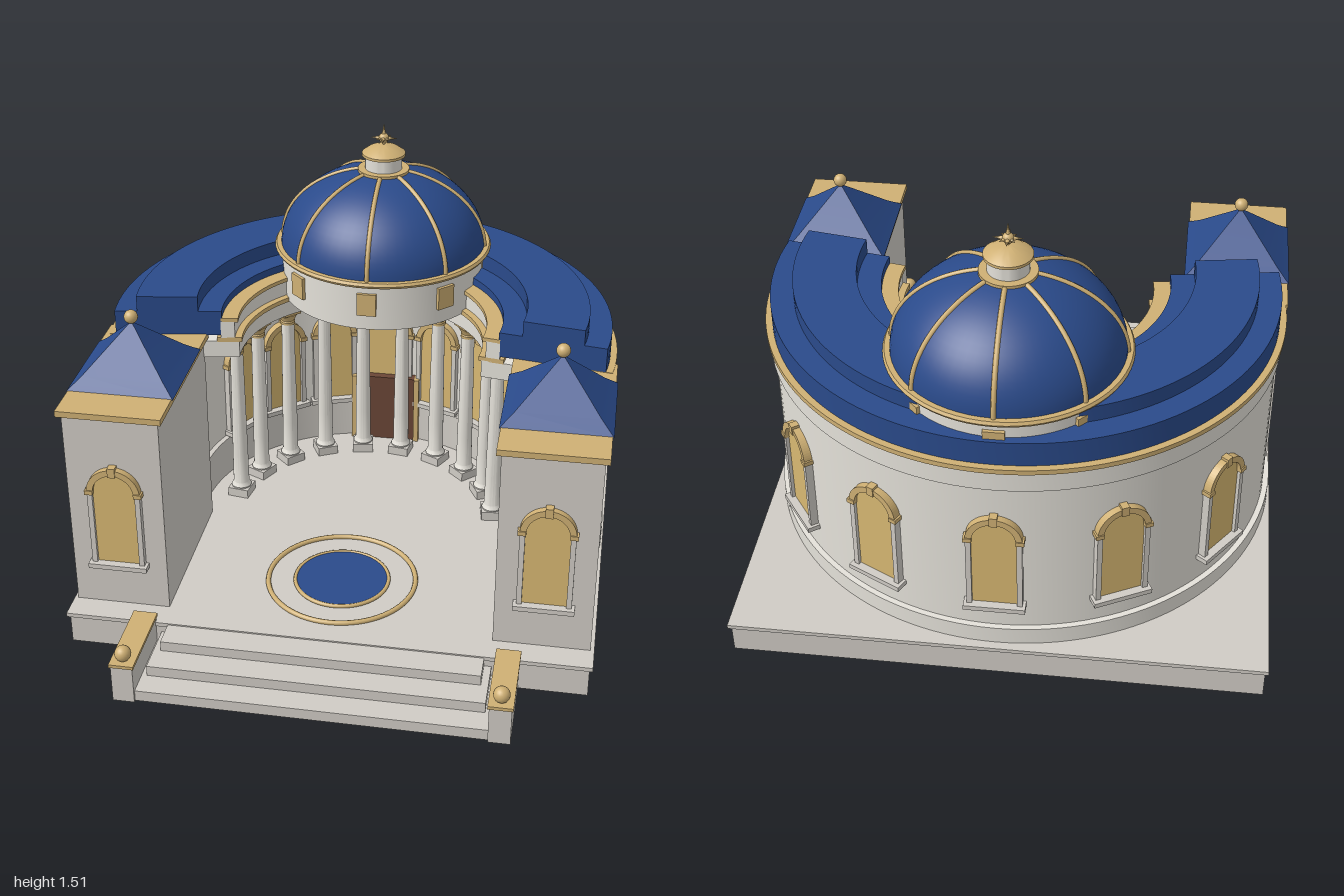
import * as THREE from 'three';
import { mergeGeometries, toCreasedNormals } from 'three/addons/utils/BufferGeometryUtils.js';

const mat = (name, color) => Object.assign(new THREE.MeshStandardMaterial({ color }), { name });
const stone = mat('stone', 0xd0ccc5);
const marble = mat('marble', 0xe4e1d9);
const gold = mat('gold', 0xcfb074);
const pane = mat('windowGlow', 0xd8b872);
const blue = mat('roofBlue', 0x2a4a8a);
const wood = mat('doorWood', 0x6a4636);
const RAD = Math.PI / 180;
const RING_Z = -0.07, DOME_Z = -0.545;

function add(parent, name, geometry, material, x = 0, y = 0, z = 0) {
  const mesh = new THREE.Mesh(geometry, material);
  mesh.name = name;
  mesh.position.set(x, y, z);
  parent.add(mesh);
  return mesh;
}

// Box given by its limits
function block(parent, name, material, x0, x1, y0, y1, z0, z1) {
  return add(parent, name, new THREE.BoxGeometry(x1 - x0, y1 - y0, z1 - z0), material,
    (x0 + x1) / 2, (y0 + y1) / 2, (z0 + z1) / 2);
}

// Turned form with crisp edges where the profile bends sharply
function turned(profile, segments = 48) {
  const pts = profile.map(([r, y]) => new THREE.Vector2(r, y));
  return toCreasedNormals(new THREE.LatheGeometry(pts, segments), 0.5);
}

// Rectangular band swept round an arc open to the front, with closed ends
function arcBand(r0, r1, y0, y1, half = 99) {
  const pts = [[r1, y0], [r1, y1], [r0, y1], [r0, y0]].map(([r, y]) => new THREE.Vector2(r, y));
  const start = Math.PI - half * RAD, length = 2 * half * RAD;
  const sweep = new THREE.LatheGeometry([...pts, pts[0]], 72, start, length);
  const caps = [start, start + length].map((a, i) => {
    const cap = new THREE.ShapeGeometry(new THREE.Shape(pts));
    if (i) cap.index.array.reverse();
    return cap.rotateY(a - Math.PI / 2);
  });
  return toCreasedNormals(mergeGeometries([sweep, ...caps]), 0.5);
}

// Arched window facing +z, base on y = 0.29
function archedWindow(name, half = 0.075) {
  const g = new THREE.Group();
  g.name = name;
  const spring = 0.58, sill = 0.295, outer = half + 0.018;
  const glass = new THREE.Shape();
  glass.moveTo(-half, sill);
  glass.lineTo(half, sill);
  glass.lineTo(half, spring);
  glass.absarc(0, spring, half, 0, Math.PI, false);
  add(g, 'windowPane', new THREE.ExtrudeGeometry(glass, { depth: 0.009, bevelEnabled: false, curveSegments: 16 }), pane);
  const arch = new THREE.Shape();
  arch.absarc(0, spring, outer, 0, Math.PI, false);
  arch.absarc(0, spring, half - 0.004, Math.PI, 0, true);
  add(g, 'archTrim', new THREE.ExtrudeGeometry(arch, { depth: 0.035, bevelEnabled: false, curveSegments: 16 }), gold, 0, 0, -0.012);
  for (const s of [-1, 1]) {
    add(g, 'jamb', new THREE.BoxGeometry(0.018, spring - sill, 0.034), stone, s * (half + 0.008), (spring + sill) / 2, 0.004);
    add(g, 'impost', new THREE.BoxGeometry(0.028, 0.016, 0.042), gold, s * (half + 0.01), spring, 0.006);
  }
  add(g, 'keystone', new THREE.BoxGeometry(0.026, 0.035, 0.042), gold, 0, spring + half + 0.01, 0.006);
  add(g, 'sill', new THREE.BoxGeometry(2 * half + 0.055, 0.018, 0.055), stone, 0, sill - 0.006, 0.01);
  return g;
}

function buildBase(root) {
  const g = new THREE.Group();
  g.name = 'terrace';
  root.add(g);
  block(g, 'plinth', stone, -0.895, 0.895, 0, 0.107, -0.99, 0.708);
  block(g, 'plinthLip', stone, -0.906, 0.906, 0.105, 0.12, -1, 0.715);
  [[0.545, 0.115, 0.81], [0.57, 0.078, 0.9], [0.588, 0.04, 0.985]].forEach(([x, y, z], i) =>
    block(g, 'step' + (i + 1), stone, -x, x, 0, y, 0.69, z));
  for (const s of [-1, 1]) {
    const x = s * 0.625;
    block(g, 'cheekWall', stone, x - 0.037, x + 0.037, 0, 0.14, 0.7, 0.995);
    block(g, 'cheekCap', gold, x - 0.042, x + 0.042, 0.138, 0.15, 0.7, 1);
    add(g, 'cheekBall', new THREE.SphereGeometry(0.028, 20, 14), gold, x, 0.176, 0.965);
  }
  // Court inlay
  const ring = (r, t) => new THREE.TorusGeometry(r, t, 8, 64).rotateX(Math.PI / 2);
  add(g, 'courtRing', ring(0.262, 0.009), gold, 0, 0.125, 0.36);
  add(g, 'poolRim', ring(0.166, 0.007), gold, 0, 0.125, 0.36);
  add(g, 'pool', new THREE.CylinderGeometry(0.165, 0.165, 0.008, 48), blue, 0, 0.124, 0.36);
}

function buildRing(root) {
  const g = new THREE.Group();
  g.name = 'curvedHall';
  g.position.z = RING_Z;
  root.add(g);
  const bands = [
    ['hallWall', marble, 0.62, 0.88, 0.12, 0.8],
    ['hallBase', marble, 0.64, 0.9, 0.12, 0.185],
    ['innerDado', stone, 0.6, 0.63, 0.12, 0.275],
    ['entablature', marble, 0.44, 0.87, 0.79, 0.855],
    ['outerCornice', marble, 0.8, 0.893, 0.79, 0.866],
    ['outerGoldCornice', gold, 0.7, 0.903, 0.866, 0.884],
    ['innerGoldCornice', gold, 0.43, 0.52, 0.852, 0.869],
    ['innerParapet', marble, 0.455, 0.505, 0.867, 0.932],
    ['parapetCap', gold, 0.442, 0.505, 0.93, 0.945],
    ['lowerRoof', blue, 0.5, 0.88, 0.88, 0.973],
    ['upperRoof', blue, 0.583, 0.8, 0.97, 1.03],
  ];
  for (const [name, m, ...dims] of bands) add(g, name, arcBand(...dims), m);

  // Outer and inner windows
  for (let i = -2; i <= 2; i++) {
    const a = Math.PI + i * 27 * RAD, w = archedWindow('outerWindow');
    w.position.set(Math.sin(a) * 0.881, 0, Math.cos(a) * 0.881);
    w.rotation.y = a;
    g.add(w);
  }
  for (let i = -3; i <= 3; i++) {
    const a = Math.PI + i * 20 * RAD, w = archedWindow('innerWindow', i ? 0.07 : 0.085);
    w.position.set(Math.sin(a) * 0.611, 0, Math.cos(a) * 0.611);
    w.rotation.y = a + Math.PI;
    g.add(w);
  }
  // Door
  block(g, 'door', wood, -0.115, 0.115, 0.12, 0.4, -0.62, -0.57);
  for (const s of [-1, 1]) block(g, 'doorPost', gold, s * 0.125 - 0.01, s * 0.125 + 0.01, 0.12, 0.4, -0.62, -0.562);

  // Colonnade
  const shaft = turned([[0, 0.15], [0.036, 0.15], [0.038, 0.16], [0.03, 0.175], [0.029, 0.3], [0.024, 0.735]], 20);
  const capital = turned([[0, 0.728], [0.028, 0.73], [0.028, 0.74], [0.025, 0.745], [0.032, 0.76], [0.041, 0.775], [0, 0.776]], 20);
  for (let i = 0; i < 10; i++) {
    const column = new THREE.Group(), a = Math.PI + (-81 + i * 18) * RAD;
    column.name = 'column';
    column.position.set(Math.sin(a) * 0.49, 0, Math.cos(a) * 0.49);
    column.rotation.y = a;
    add(column, 'columnFoot', new THREE.BoxGeometry(0.08, 0.034, 0.08), stone, 0, 0.137, 0);
    add(column, 'columnShaft', shaft, marble);
    add(column, 'columnCapital', capital, gold);
    add(column, 'abacus', new THREE.BoxGeometry(0.074, 0.018, 0.074), gold, 0, 0.783, 0);
    g.add(column);
  }
}

function buildWing(root, s) {
  const g = new THREE.Group();
  g.name = s > 0 ? 'leftWing' : 'rightWing';
  root.add(g);
  const x = s * 0.728;
  block(g, 'wingWall', stone, x - 0.165, x + 0.165, 0.12, 0.862, 0.005, 0.62);
  block(g, 'wingCornice', gold, x - 0.18, x + 0.18, 0.86, 0.882, 0, 0.638);
  // Four-sided roof, slightly flared at the eaves
  const roof = new THREE.LatheGeometry([[0, 0.88], [0.185, 0.88], [0.14, 0.92], [0, 1.068]]
    .map(([r, y]) => new THREE.Vector2(r * Math.SQRT2, y)), 4).rotateY(Math.PI / 4);
  add(g, 'wingRoof', toCreasedNormals(roof, 0.5), blue, x, 0, 0.315);
  add(g, 'wingBall', new THREE.SphereGeometry(0.024, 20, 14), gold, x, 1.085, 0.315);
  const w = archedWindow('wingWindow');
  w.position.set(x, 0, 0.621);
  g.add(w);
}

function buildDome(root) {
  const g = new THREE.Group();
  g.name = 'dome';
  g.position.z = DOME_Z;
  root.add(g);
  add(g, 'drum', turned([[0, 0.857], [0.38, 0.857], [0.38, 1.035], [0, 1.035]], 64), marble);
  add(g, 'domeRing', turned([[0.36, 1.03], [0.4, 1.03], [0.406, 1.04], [0.4, 1.05], [0.36, 1.05]], 64), gold);
  const arc = [];
  for (let i = 0; i <= 16; i++) {
    const t = i / 16 * 77 * RAD;
    arc.push([0.383 * Math.cos(t), 1.04 + 0.295 * Math.sin(t)]);
  }
  add(g, 'domeShell', turned(arc, 64), blue);
  const rib = new THREE.TubeGeometry(new THREE.CatmullRomCurve3(
    arc.map(([r, y]) => new THREE.Vector3(0, y, r))), 24, 0.0085, 8);
  for (let i = 0; i < 8; i++) {
    const a = i * Math.PI / 4;
    add(g, 'domeRib', rib, gold).rotation.y = a;
    add(g, 'drumPanel', new THREE.BoxGeometry(0.07, 0.085, 0.022), gold,
      Math.sin(a) * 0.38, 0.958, Math.cos(a) * 0.38).rotation.y = a;
  }
  // Lantern and finial
  add(g, 'lanternRing', turned([[0, 1.318], [0.095, 1.318], [0.095, 1.336], [0, 1.336]]), gold);
  add(g, 'lantern', turned([[0.068, 1.33], [0.068, 1.39]]), marble);
  add(g, 'lanternCap', turned([[0, 1.386], [0.08, 1.386], [0.08, 1.396], [0.055, 1.414], [0.02, 1.426], [0, 1.428]]), gold);
  const star = new THREE.Group();
  star.name = 'starFinial';
  star.position.y = 1.451;
  g.add(star);
  add(star, 'starCore', new THREE.SphereGeometry(0.019, 16, 12), gold);
  const spike = (length) => new THREE.ConeGeometry(0.011, length, 8).translate(0, length / 2, 0);
  add(star, 'starSpike', spike(0.056), gold);
  add(star, 'starStem', spike(0.04), gold).rotation.x = Math.PI;
  for (let i = 0; i < 8; i++) {
    const arm = spike(i % 2 ? 0.036 : 0.05).rotateX(Math.PI / 2);
    add(star, 'starArm', arm, gold).rotation.y = i * Math.PI / 4;
  }
}

export function createModel() {
  const root = new THREE.Group();
  root.name = 'domedPavilion';
  buildBase(root);
  buildRing(root);
  for (const s of [-1, 1]) buildWing(root, s);
  buildDome(root);
  return root;
}
